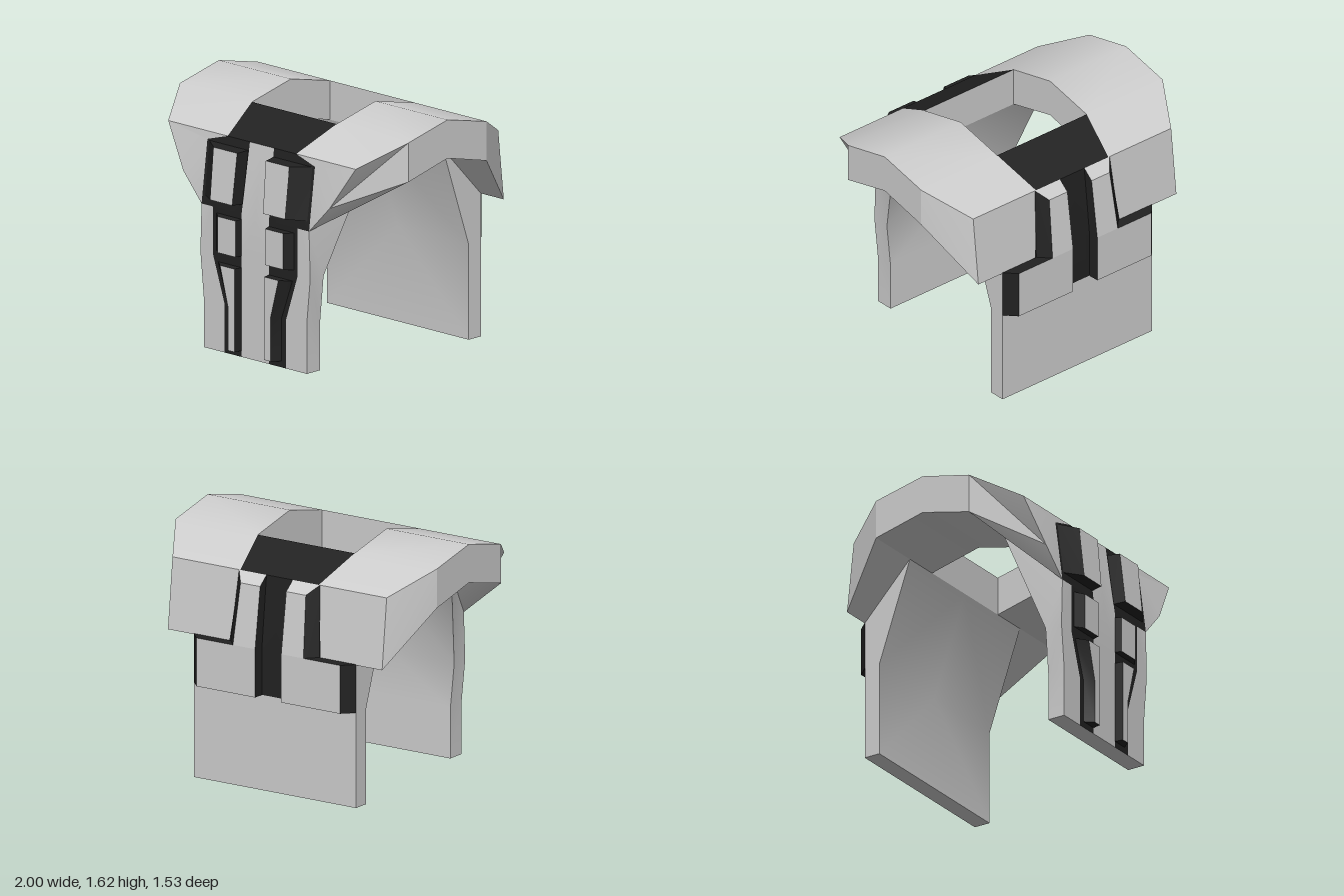
import * as THREE from 'three';
import { toCreasedNormals } from 'three/addons/utils/BufferGeometryUtils.js';

const plate = new THREE.MeshStandardMaterial({ color: 0xcdcdcd });
plate.name = 'light grey plate';
const trim = new THREE.MeshStandardMaterial({ color: 0x212121 });
trim.name = 'black trim';

export function createModel() {
  const model = new THREE.Group();
  model.name = 'chestArmour';
  const parts = new Map();

  // Adds a polygon and its mirror image, wound to face the direction "out"
  function face(name, material, out, pts) {
    const key = name + material.name;
    if (!parts.has(key)) parts.set(key, { name, material, pos: [] });
    const pos = parts.get(key).pos;
    for (const s of [1, -1]) {
      const p = pts.map(([x, y, z]) => new THREE.Vector3(x * s, y, z));
      const dir = new THREE.Vector3(out[0] * s, out[1], out[2]);
      const normal = new THREE.Vector3();
      for (let i = 1; i < p.length - 1; i++) {
        normal.add(p[i].clone().sub(p[0]).cross(p[i + 1].clone().sub(p[0])));
      }
      if (normal.dot(dir) < 0) p.reverse().unshift(p.pop());
      for (let i = 1; i < p.length - 1; i++) {
        for (const v of [p[0], p[i], p[i + 1]]) pos.push(v.x, v.y, v.z);
      }
    }
  }

  // Raised block: light front, black bevelled sides (some may stay light)
  function block(name, base, front, lightSides = []) {
    const mean = (pts) => [0, 1, 2].map((k) => pts.reduce((a, p) => a + p[k], 0) / pts.length);
    const centre = mean([...base, ...front]);
    face(name, plate, [0, 0, Math.sign(front[0][2])], front);
    base.forEach((b, i) => {
      const j = (i + 1) % base.length;
      const side = [b, base[j], front[j], front[i]];
      const out = mean(side).map((v, k) => v - centre[k]);
      face(name, lightSides.includes(i) ? plate : trim, out, side);
    });
  }
  const atZ = (z, pts) => pts.map(([x, y]) => [x, y, z]);

  // Shoulder arches: [z, inner y, outer y]
  const arch = [[-0.35, 1.285, 1.54], [0, 1.37, 1.62], [0.35, 1.285, 1.54]];
  for (let i = 0; i < 2; i++) {
    const [za, la, ha] = arch[i], [zb, lb, hb] = arch[i + 1];
    const strip = (x0, y0, x1, y1, x2, y2, x3, y3) => [[x0, y0, za], [x1, y1, za], [x2, y2, zb], [x3, y3, zb]];
    face('shoulders', plate, [0, 1, 0], strip(0.37, ha, 1, ha, 1, hb, 0.37, hb));
    face('shoulders', plate, [0, -1, 0], strip(0.37, la, 1, la, 1, lb, 0.37, lb));
    face('shoulders', plate, [1, 0, 0], strip(1, la, 1, ha, 1, hb, 1, lb));
    face('shoulders', plate, [-1, 0, 0], strip(0.37, la, 0.37, ha, 0.37, hb, 0.37, lb));
  }

  // Shoulder slopes, neck edges and collar, front and back
  for (const s of [1, -1]) {
    const z = 0.35 * s, ze = 0.64 * s;
    face('shoulders', plate, [0, 1, s], [[0.37, 1.54, z], [1, 1.54, z], [0.82, 1.39, ze], [0.3, 1.39, ze]]);
    face('collar', trim, [0, 1, s], [[0, 1.54, z], [0.37, 1.54, z], [0.3, 1.39, ze], [0, 1.39, ze]]);
    face('neckEdge', plate, [0, 0, -s], [[0, 1.285, z], [0.37, 1.285, z], [0.37, 1.54, z], [0, 1.54, z]]);
  }

  // Front of the shoulders, narrowing into the chest
  const i2 = [0.62, 1.285, 0.35], i3 = [1, 1.285, 0.35];
  const t1 = [0.3, 1.39, 0.64], t2 = [0.47, 1.34, 0.647], t3 = [0.82, 1.39, 0.64];
  const e = [0.64, 1.11, 0.69], m = [0.47, 0.93, 0.7], kb = [0.48, 0.62, 0.58];
  face('shoulders', plate, [0, 1, 1], [t1, t3, t2]);
  face('frontPanel', plate, [0, 0, 1], [t2, t3, e, m]);
  face('frontPanel', plate, [1, 0, 1], [[1, 1.54, 0.35], i3, e, t3]);
  face('frontPanel', plate, [1, -1, 0], [i3, e, m]);
  face('frontPanel', plate, [0, -1, -1], [i3, i2, m]);
  face('frontPanel', plate, [1, 0, 0], [i2, kb, m]);
  face('frontPanel', plate, [1, 0, 0], [m, kb, [0.48, 0.62, 0.7]]);
  face('frontPanel', plate, [0, -1, -1], [[0, 1.285, 0.35], i2, kb, [0, 0.62, 0.58]]);

  // Chest: light centre strip beside a black field
  face('centreStrip', plate, [0, 0, 1], [[0, 1.39, 0.64], [0.105, 1.39, 0.64], [0.12, 0.93, 0.7], [0, 0.93, 0.7]]);
  face('frontTrim', trim, [0, 0, 1], [[0.105, 1.39, 0.64], t1, t2, m, [0.12, 0.93, 0.7]]);

  // Lower front panel: [y, black edge x, outer edge x]
  const rows = [[0.93, 0.37, 0.47], [0.62, 0.37, 0.48], [0.32, 0.27, 0.45], [0, 0.27, 0.45]];
  for (let i = 0; i < 3; i++) {
    const [ya, da, oa] = rows[i], [yb, db, ob] = rows[i + 1];
    const quad = (a0, a1, b1, b0) => atZ(0.7, [[a0, ya], [a1, ya], [b1, yb], [b0, yb]]);
    face('centreStrip', plate, [0, 0, 1], quad(0, 0.12, 0.12, 0));
    face('frontTrim', trim, [0, 0, 1], quad(0.12, da, db, 0.12));
    face('frontPanel', plate, [0, 0, 1], quad(da, oa, ob, db));
    if (i === 0) continue;
    face('frontPanel', plate, [1, 0, 0], [[oa, ya, 0.7], [oa, ya, 0.58], [ob, yb, 0.58], [ob, yb, 0.7]]);
    face('frontPanel', plate, [0, 0, -1], atZ(0.58, [[0, ya], [oa, ya], [ob, yb], [0, yb]]));
  }
  face('frontPanel', plate, [0, -1, 0], [[0, 0, 0.58], [0.45, 0, 0.58], [0.45, 0, 0.7], [0, 0, 0.7]]);

  // Raised chest blocks, top to bottom
  block('upperBlock',
    [[0.11, 1.335, 0.65], [0.45, 1.335, 0.65], [0.45, 0.99, 0.69], [0.12, 0.99, 0.69]],
    [[0.125, 1.33, 0.735], [0.33, 1.33, 0.735], [0.325, 0.995, 0.77], [0.135, 0.995, 0.77]]);
  block('middleBlock',
    atZ(0.7, [[0.12, 0.895], [0.34, 0.895], [0.34, 0.655], [0.12, 0.655]]),
    atZ(0.745, [[0.13, 0.89], [0.285, 0.89], [0.285, 0.655], [0.13, 0.655]]));
  block('lowerBlock',
    atZ(0.7, [[0.23, 0.32], [0.23, 0.04], [0.12, 0.04], [0.12, 0.58], [0.325, 0.58]]),
    atZ(0.755, [[0.185, 0.32], [0.185, 0.04], [0.13, 0.04], [0.13, 0.58], [0.255, 0.58]]));

  // Back of the shoulders
  const I2 = [0.62, 1.285, -0.35], I3 = [1, 1.285, -0.35], KB = [0.62, 0.62, -0.58];
  const T1 = [0.3, 1.39, -0.64], T3 = [0.82, 1.39, -0.64];
  const M1 = [0.35, 0.93, -0.69], M2 = [0.62, 0.93, -0.69], M3 = [0.82, 0.93, -0.69];
  face('backShoulder', plate, [0, 0, -1], [T1, T3, M3, M1]);
  face('backShoulder', plate, [1, 0, 0], [[1, 1.54, -0.35], I3, M3, T3]);
  face('backShoulder', plate, [0, -1, 1], [I2, I3, M3, M2]);
  face('backTrim', trim, [0, 0, -1], [[0, 1.39, -0.64], T1, M1, [0, 0.93, -0.69]]);
  face('backTrim', trim, [0, 0, -1], atZ(-0.69, [[0, 0.93], [0.12, 0.93], [0.12, 0.62], [0, 0.62]]));

  // Back panel
  face('backPanel', plate, [1, 0, 0], [I2, KB, M2]);
  face('backPanel', plate, [1, 0, 0], [M2, KB, [0.62, 0, -0.58], [0.62, 0, -0.69]]);
  face('backPanel', plate, [0, 0, -1], atZ(-0.69, [[0, 0.62], [0.62, 0.62], [0.62, 0], [0, 0]]));
  face('backPanel', plate, [0, -1, 1], [[0, 1.285, -0.35], I2, KB, [0, 0.62, -0.58]]);
  face('backPanel', plate, [0, 0, 1], atZ(-0.58, [[0, 0.62], [0.62, 0.62], [0.62, 0], [0, 0]]));
  face('backPanel', plate, [0, -1, 0], [[0, 0, -0.58], [0.62, 0, -0.58], [0.62, 0, -0.69], [0, 0, -0.69]]);

  // Raised L-shaped plates on the back
  block('backUpright',
    [[0.1, 1.39, -0.64], [0.31, 1.39, -0.64], [0.34, 0.93, -0.69], [0.1, 0.93, -0.69]],
    [[0.1, 1.33, -0.71], [0.25, 1.33, -0.71], [0.27, 0.935, -0.765], [0.1, 0.935, -0.765]], [0]);
  block('backFoot',
    atZ(-0.69, [[0.1, 0.935], [0.62, 0.935], [0.62, 0.62], [0.1, 0.62]]),
    atZ(-0.765, [[0.1, 0.935], [0.55, 0.935], [0.55, 0.62], [0.1, 0.62]]));

  // One mesh per part and colour
  for (const { name, material, pos } of parts.values()) {
    const geometry = new THREE.BufferGeometry();
    geometry.setAttribute('position', new THREE.Float32BufferAttribute(pos, 3));
    const mesh = new THREE.Mesh(toCreasedNormals(geometry, 0.5), material);
    mesh.name = name;
    model.add(mesh);
  }
  return model;
}
